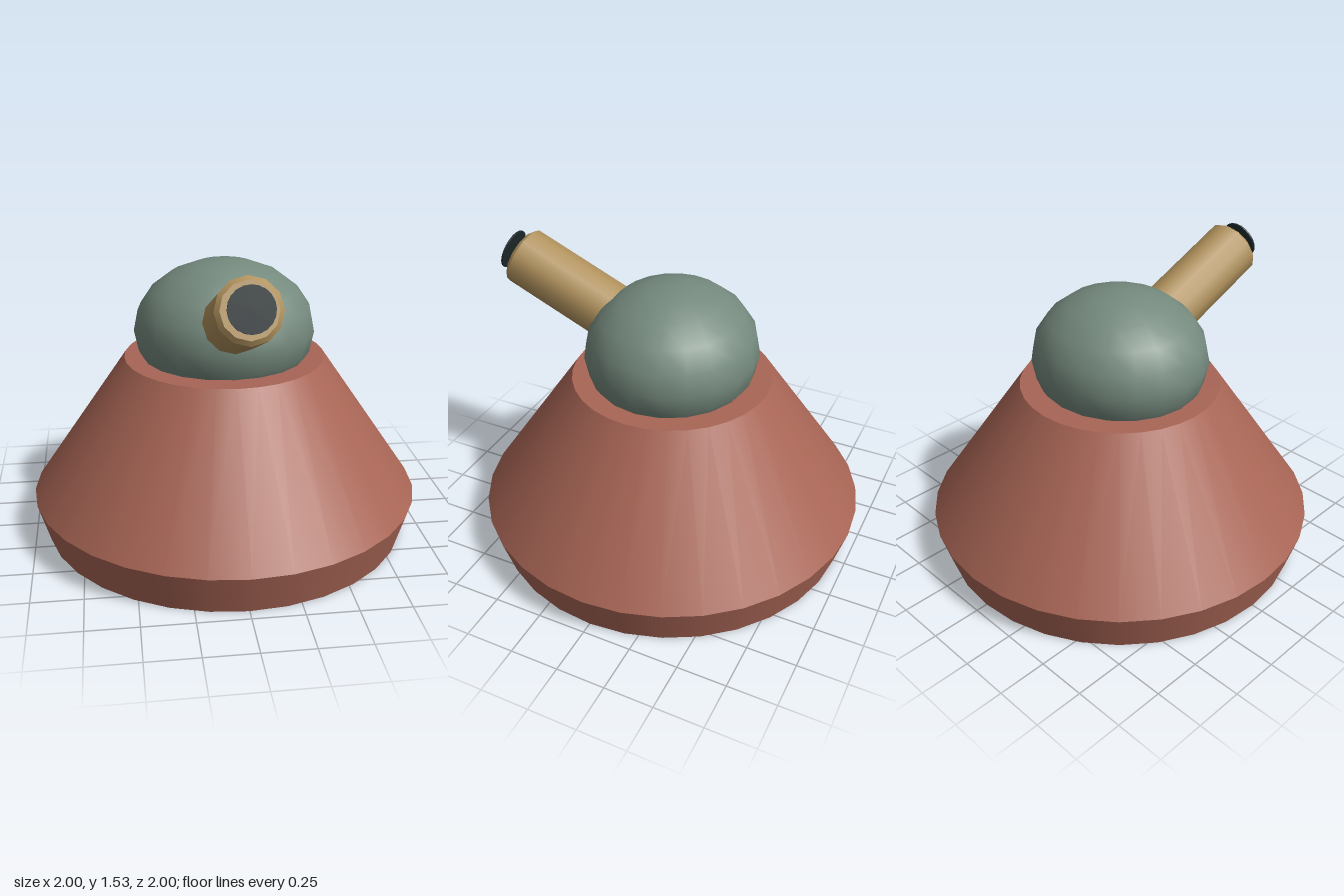
import * as THREE from 'three';

export function createModel() {
  const model = new THREE.Group();
  const paint = (name, color) => {
    const m = new THREE.MeshStandardMaterial({ color });
    m.name = name;
    return m;
  };
  const clay = paint('clay red', 0xa86555);
  const sage = paint('sage green', 0x758a7e);
  const brass = paint('brass', 0xb1925d);
  const dark = paint('dark slate', 0x222d30);

  const add = (parent, name, geometry, material, y = 0) => {
    const mesh = new THREE.Mesh(geometry, material);
    mesh.name = name;
    mesh.position.y = y;
    parent.add(mesh);
    return mesh;
  };

  // Base: flared foot, sloping body, flat ledge and underside
  const footTop = 0.205, bodyTop = 0.92;
  const underside = new THREE.CircleGeometry(0.94, 32).rotateX(Math.PI / 2);
  const ledge = new THREE.CircleGeometry(0.51, 32).rotateX(-Math.PI / 2);
  add(model, 'foot', new THREE.CylinderGeometry(1, 0.94, footTop, 32, 1, true), clay, footTop / 2);
  add(model, 'body', new THREE.CylinderGeometry(0.51, 1, bodyTop - footTop, 32, 1, true), clay, (footTop + bodyTop) / 2);
  add(model, 'underside', underside, clay);
  add(model, 'ledge', ledge, clay, bodyTop);

  // Squashed dome sitting in the ledge
  const dome = add(model, 'dome', new THREE.SphereGeometry(1, 20, 10), sage, 1.06);
  dome.scale.set(0.457, 0.35, 0.437);

  // Barrel: local +y runs along its axis, origin at the muzzle face
  const barrel = new THREE.Group();
  barrel.name = 'barrel';
  barrel.position.set(0, 1.403, 0.857);
  barrel.rotation.x = THREE.MathUtils.degToRad(90 - 22.7);
  model.add(barrel);
  add(barrel, 'tube', new THREE.CylinderGeometry(0.15, 0.15, 0.68, 12, 1, true), brass, -0.36);
  add(barrel, 'muzzleBevel', new THREE.CylinderGeometry(0.128, 0.15, 0.02, 12, 1, true), brass, -0.01);
  add(barrel, 'muzzleFace', new THREE.CircleGeometry(0.128, 12).rotateX(-Math.PI / 2), brass);
  add(barrel, 'tubeBack', new THREE.CircleGeometry(0.15, 12).rotateX(Math.PI / 2), brass, -0.7);

  // Thin dark lens held just ahead of the muzzle, tilted slightly less
  const lens = add(model, 'lens', new THREE.CylinderGeometry(0.103, 0.103, 0.009, 20), dark, 1.42);
  lens.position.z = 0.903;
  lens.rotation.x = THREE.MathUtils.degToRad(90 - 18);

  return model;
}
